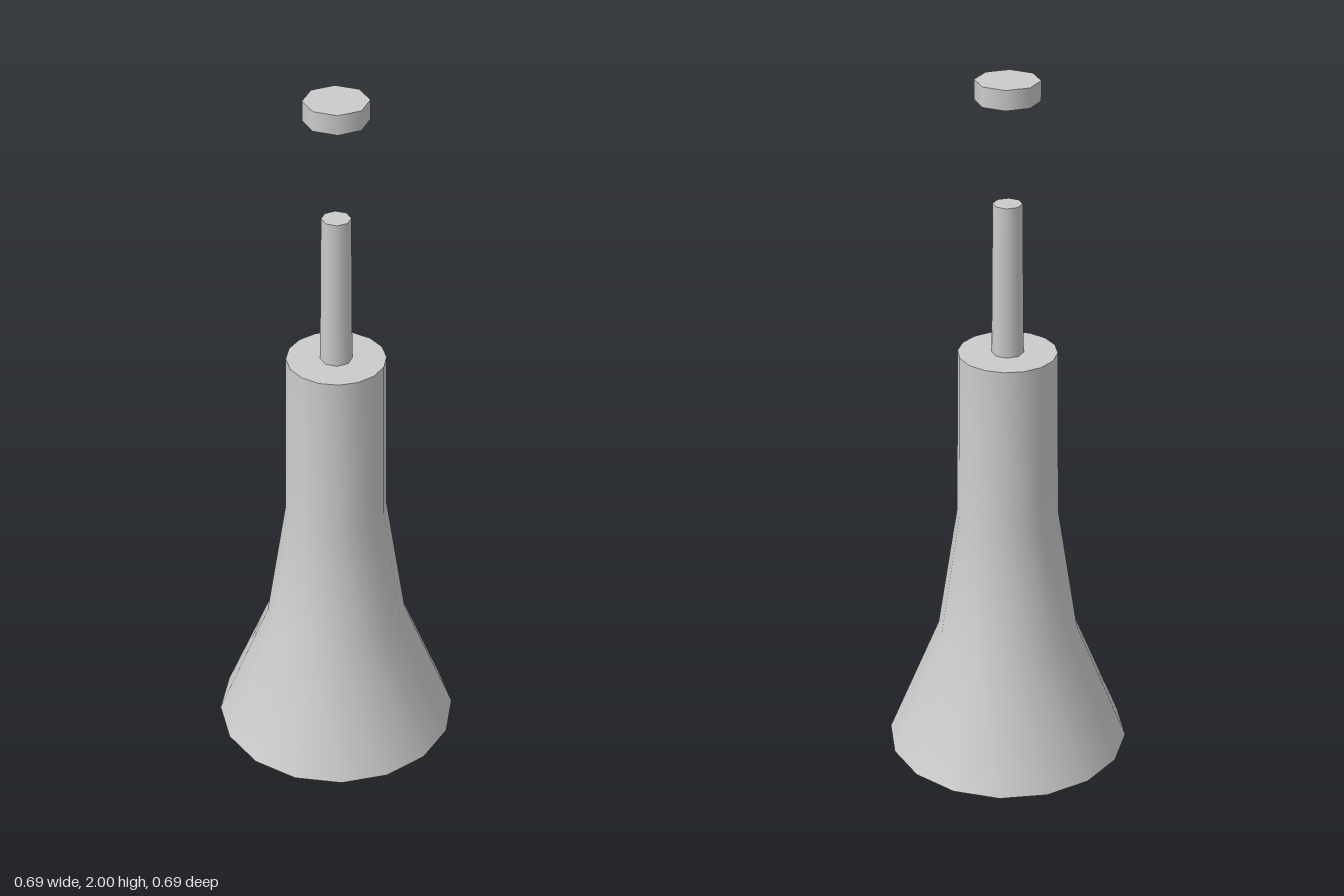
import * as THREE from 'three';

export function createModel() {
  const group = new THREE.Group();
  const material = new THREE.MeshStandardMaterial({ color: 0xcccccc });
  const add = (name, geometry, y = 0, parent = group) => {
    const mesh = new THREE.Mesh(geometry, material);
    mesh.name = name;
    mesh.position.y = y;
    parent.add(mesh);
    return mesh;
  };

  // Flared body: smooth 16-sided wall, closed by flat discs
  const sides = 16;
  const profile = [[0.347, 0], [0.2, 0.365], [0.143, 0.74], [0.137, 1.23]];
  const body = new THREE.Group();
  body.name = 'body';
  group.add(body);
  add('bodyWall', new THREE.LatheGeometry(profile.map(([r, y]) => new THREE.Vector2(r, y)), sides), 0, body);
  add('bodyTop', new THREE.CircleGeometry(0.137, sides).rotateX(-Math.PI / 2), 1.23, body);
  add('bodyBase', new THREE.CircleGeometry(0.347, sides).rotateX(Math.PI / 2), 0, body);

  // Slim, slightly tapered stem rising from the body
  add('stem', new THREE.CylinderGeometry(0.04, 0.044, 0.43, 8), 1.445);

  // Small octagonal disc floating above the stem
  add('floatingCap', new THREE.CylinderGeometry(0.087, 0.087, 0.055, 8), 1.9725);

  return group;
}
